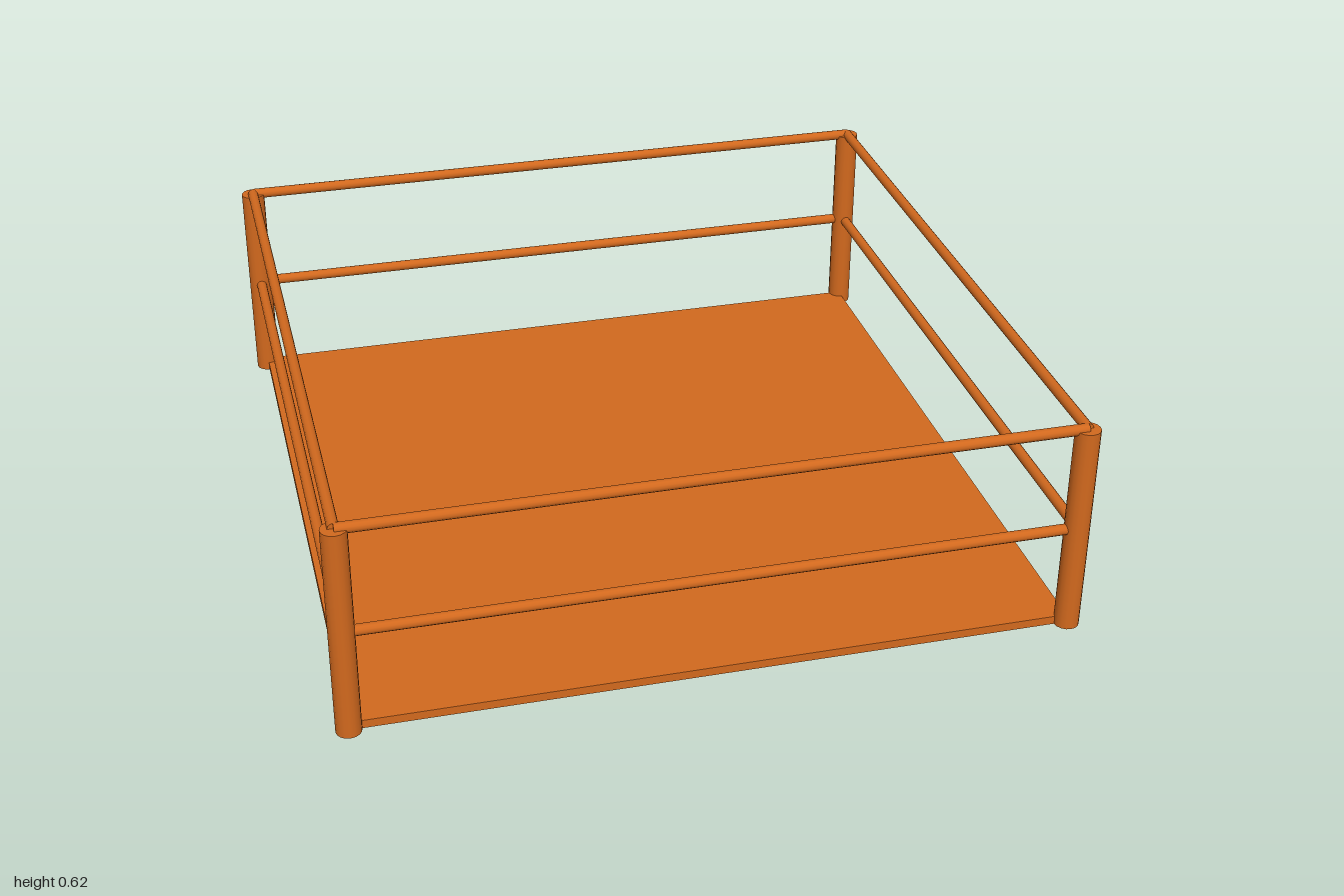
import * as THREE from 'three';

const HALF = 0.966;        // distance from centre to post axes
const POST_RADIUS = 0.034;
const POST_HEIGHT = 0.605;
const RAIL_RADIUS = 0.015;
const FLOOR_THICKNESS = 0.024;

export function createModel() {
  const model = new THREE.Group();
  model.name = 'fencedPlatform';
  const material = new THREE.MeshStandardMaterial({ color: 0xd2691e });

  const add = (name, geometry, x, y, z) => {
    const mesh = new THREE.Mesh(geometry, material);
    mesh.name = name;
    mesh.position.set(x, y, z);
    model.add(mesh);
    return mesh;
  };

  // Floor slab, reaching the post axes
  add('floor', new THREE.BoxGeometry(HALF * 2, FLOOR_THICKNESS, HALF * 2), 0, FLOOR_THICKNESS / 2, 0);

  // Corner posts
  const postGeometry = new THREE.CylinderGeometry(POST_RADIUS, POST_RADIUS, POST_HEIGHT, 16);
  for (const [sx, side] of [[1, 'Left'], [-1, 'Right']]) {
    for (const [sz, end] of [[1, 'front'], [-1, 'back']]) {
      add(`${end}${side}Post`, postGeometry, sx * HALF, POST_HEIGHT / 2, sz * HALF);
    }
  }

  // Middle and top rails on all four sides
  const railGeometry = new THREE.CylinderGeometry(RAIL_RADIUS, RAIL_RADIUS, HALF * 2, 12);
  for (const [level, y] of [['Middle', 0.303], ['Top', 0.605]]) {
    for (const s of [1, -1]) {
      add(`${s > 0 ? 'front' : 'back'}${level}Rail`, railGeometry, 0, y, s * HALF).rotation.z = Math.PI / 2;
      add(`${s > 0 ? 'left' : 'right'}${level}Rail`, railGeometry, s * HALF, y, 0).rotation.x = Math.PI / 2;
    }
  }

  return model;
}
